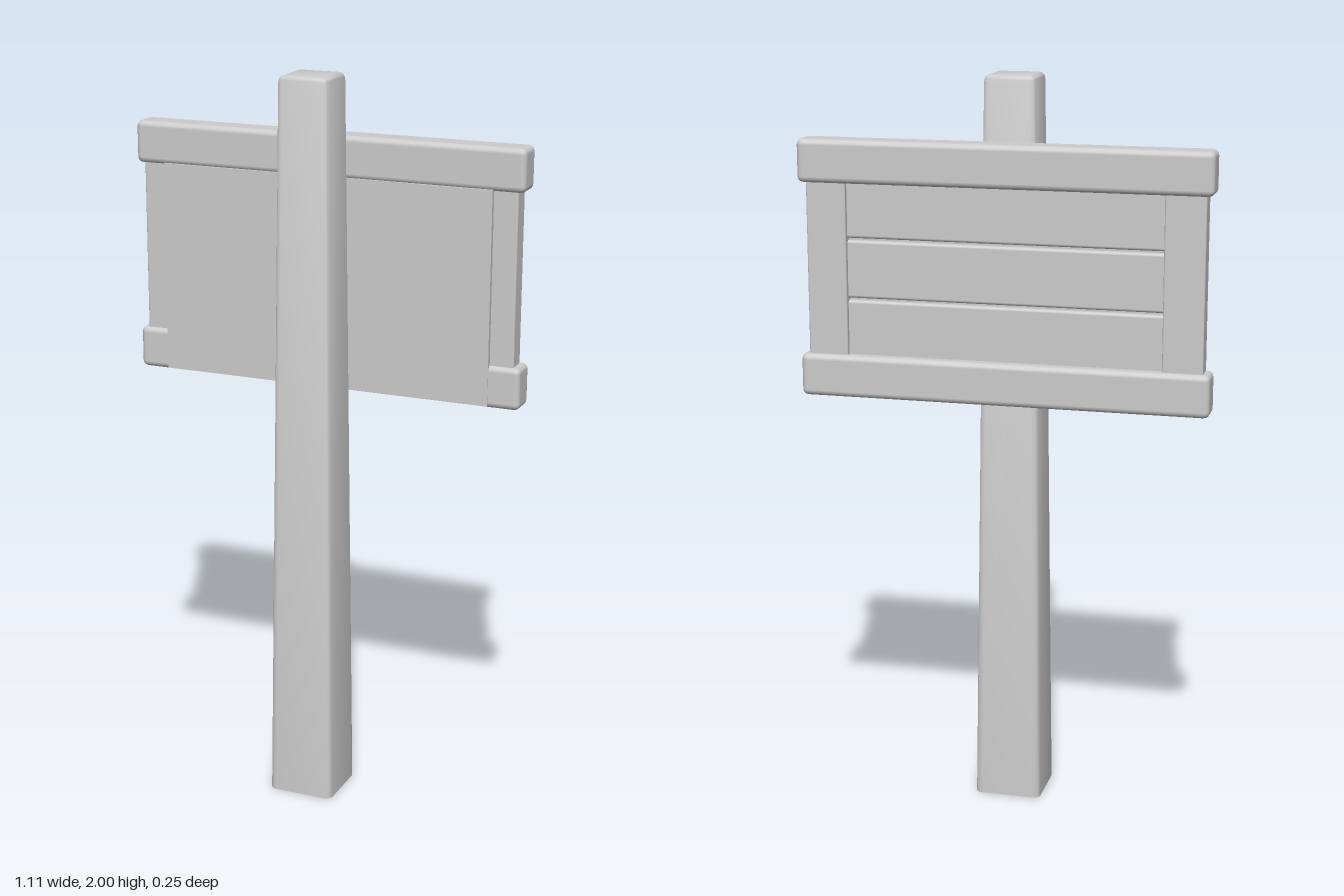
import * as THREE from 'three';
import { RoundedBoxGeometry } from 'three/addons/geometries/RoundedBoxGeometry.js';
import { toCreasedNormals } from 'three/addons/utils/BufferGeometryUtils.js';

const material = new THREE.MeshStandardMaterial({ color: 0xcccccc });

// Box with softened edges, given by its extents on each axis
function beam(name, [x0, x1], [y0, y1], [z0, z1], radius) {
  const geometry = radius
    ? new RoundedBoxGeometry(x1 - x0, y1 - y0, z1 - z0, 2, radius)
    : new THREE.BoxGeometry(x1 - x0, y1 - y0, z1 - z0);
  const mesh = new THREE.Mesh(geometry, material);
  mesh.name = name;
  mesh.position.set((x0 + x1) / 2, (y0 + y1) / 2, (z0 + z1) / 2);
  return mesh;
}

// Square post, narrowing upward, with rounded edges and a flat foot
function createPost() {
  const r = 0.02, height = 2;
  const geometry = new RoundedBoxGeometry(0.184, height + r, 0.18, 2, r);
  geometry.translate(0, (height - r) / 2, 0);
  const p = geometry.attributes.position;
  for (let i = 0; i < p.count; i++) {
    const y = Math.max(0, p.getY(i));
    const taper = THREE.MathUtils.lerp(1, 0.75, y / height);
    p.setXYZ(i, p.getX(i) * taper, y, p.getZ(i) * taper);
  }
  const post = new THREE.Mesh(toCreasedNormals(geometry, 0.6), material);
  post.name = 'post';
  post.position.z = 0.033;
  return post;
}

export function createModel() {
  const model = new THREE.Group();
  model.name = 'signpost';
  model.add(createPost());

  const board = new THREE.Group();
  board.name = 'signBoard';
  model.add(board);

  // Top and bottom rails
  board.add(beam('topRail', [-0.553, 0.553], [1.717, 1.832], [-0.125, -0.042], 0.016));
  board.add(beam('bottomRail', [-0.553, 0.553], [1.142, 1.257], [-0.125, -0.042], 0.016));

  // Upright stiles at both ends
  board.add(beam('leftStile', [0.425, 0.533], [1.23, 1.74], [-0.108, -0.053], 0.005));
  board.add(beam('rightStile', [-0.533, -0.425], [1.23, 1.74], [-0.108, -0.053], 0.005));

  // Flat sheet behind the planks
  board.add(beam('backingSheet', [-0.468, 0.468], [1.147, 1.722], [-0.078, -0.04]));

  // Three horizontal planks with bevelled joints
  const bottom = 1.245, pitch = 0.161;
  for (let i = 0; i < 3; i++) {
    const y = bottom + i * pitch;
    board.add(beam('plank' + (i + 1), [-0.45, 0.45], [y + 0.003, y + pitch - 0.003], [-0.094, -0.06], 0.008));
  }
  return model;
}
